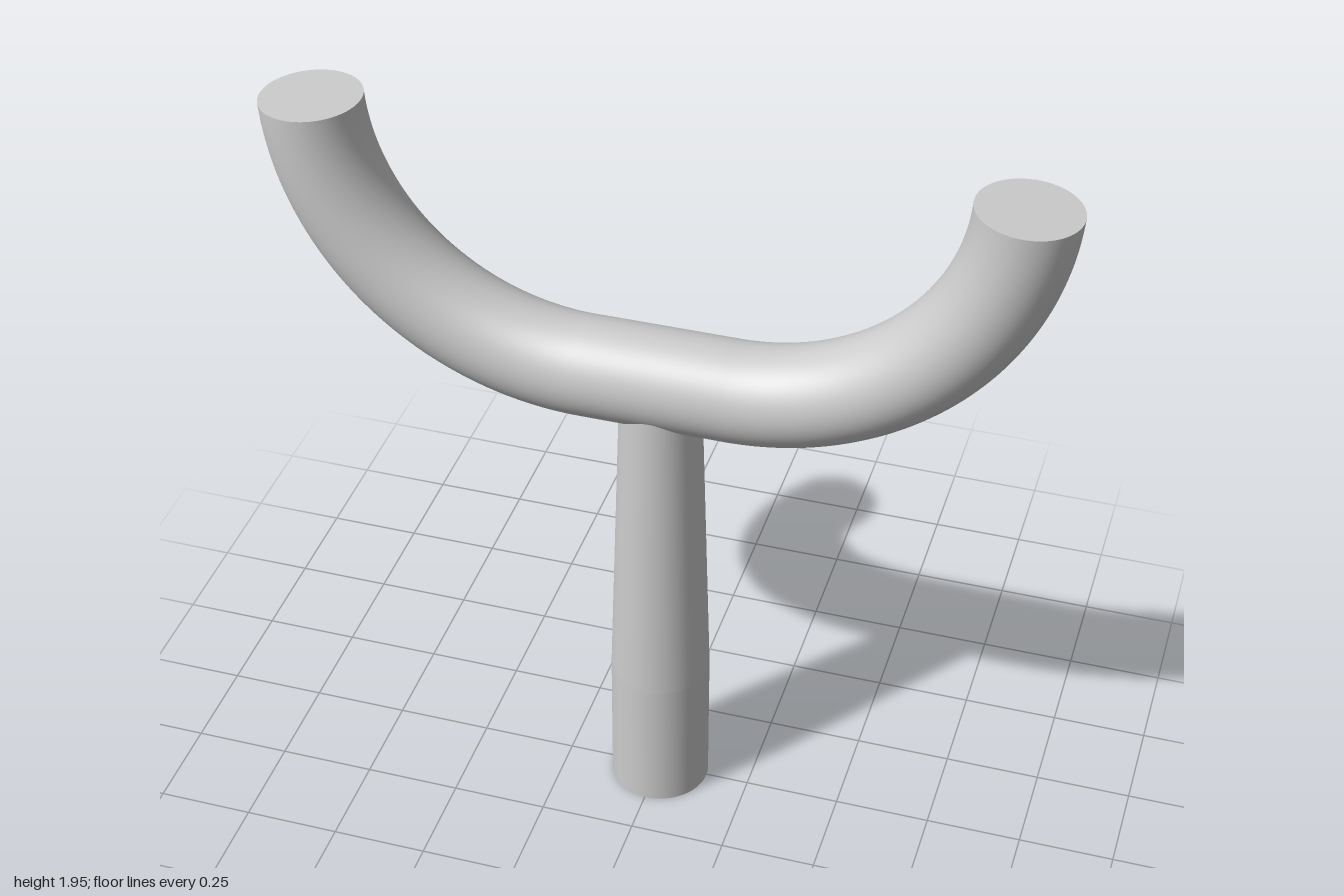
import * as THREE from 'three';

const TUBE = 0.128;       // crossbar tube radius
const BEND = 0.688;       // bend radius of the arms
const HALF = 0.185;       // half length of the straight bar
const BAR_Y = 1.3;
const SWEEP = THREE.MathUtils.degToRad(86.6);

export function createModel() {
  const model = new THREE.Group();
  const material = new THREE.MeshStandardMaterial({ color: 0xcccccc });

  const add = (parent, name, geometry, x = 0, y = 0, z = 0) => {
    const mesh = new THREE.Mesh(geometry, material);
    mesh.name = name;
    mesh.position.set(x, y, z);
    parent.add(mesh);
    return mesh;
  };

  // Post: straight foot with a tapered shaft that ends inside the crossbar
  const post = new THREE.Group();
  post.name = 'post';
  post.position.set(0.005, 0, 0.003);
  model.add(post);
  const footHeight = 0.38, shaftHeight = 0.9;
  add(post, 'postFoot', new THREE.CylinderGeometry(0.13, 0.13, footHeight, 64), 0, footHeight / 2);
  add(post, 'postShaft', new THREE.CylinderGeometry(0.102, 0.13, shaftHeight, 64, 1, true),
    0, footHeight + shaftHeight / 2);

  // Crossbar: straight middle and two upward-curving arms
  const fork = new THREE.Group();
  fork.name = 'fork';
  fork.position.z = -0.003;
  model.add(fork);
  const bar = new THREE.CylinderGeometry(TUBE, TUBE, HALF * 2, 64, 1, true).rotateZ(Math.PI / 2);
  add(fork, 'crossbar', bar, 0, BAR_Y);

  for (const side of ['left', 'right']) {
    const arm = new THREE.Group();
    arm.name = side + 'Arm';
    if (side === 'right') arm.rotation.y = Math.PI;
    fork.add(arm);

    const bend = new THREE.TorusGeometry(BEND, TUBE, 64, 64, SWEEP).rotateZ(-Math.PI / 2);
    add(arm, side + 'Bend', bend, HALF, BAR_Y + BEND);

    // Flat cap square to the end of the bend
    const cap = new THREE.CircleGeometry(TUBE, 64).rotateX(-Math.PI / 2).rotateZ(SWEEP - Math.PI / 2);
    add(arm, side + 'Cap', cap,
      HALF + BEND * Math.sin(SWEEP), BAR_Y + BEND * (1 - Math.cos(SWEEP)));
  }

  return model;
}
